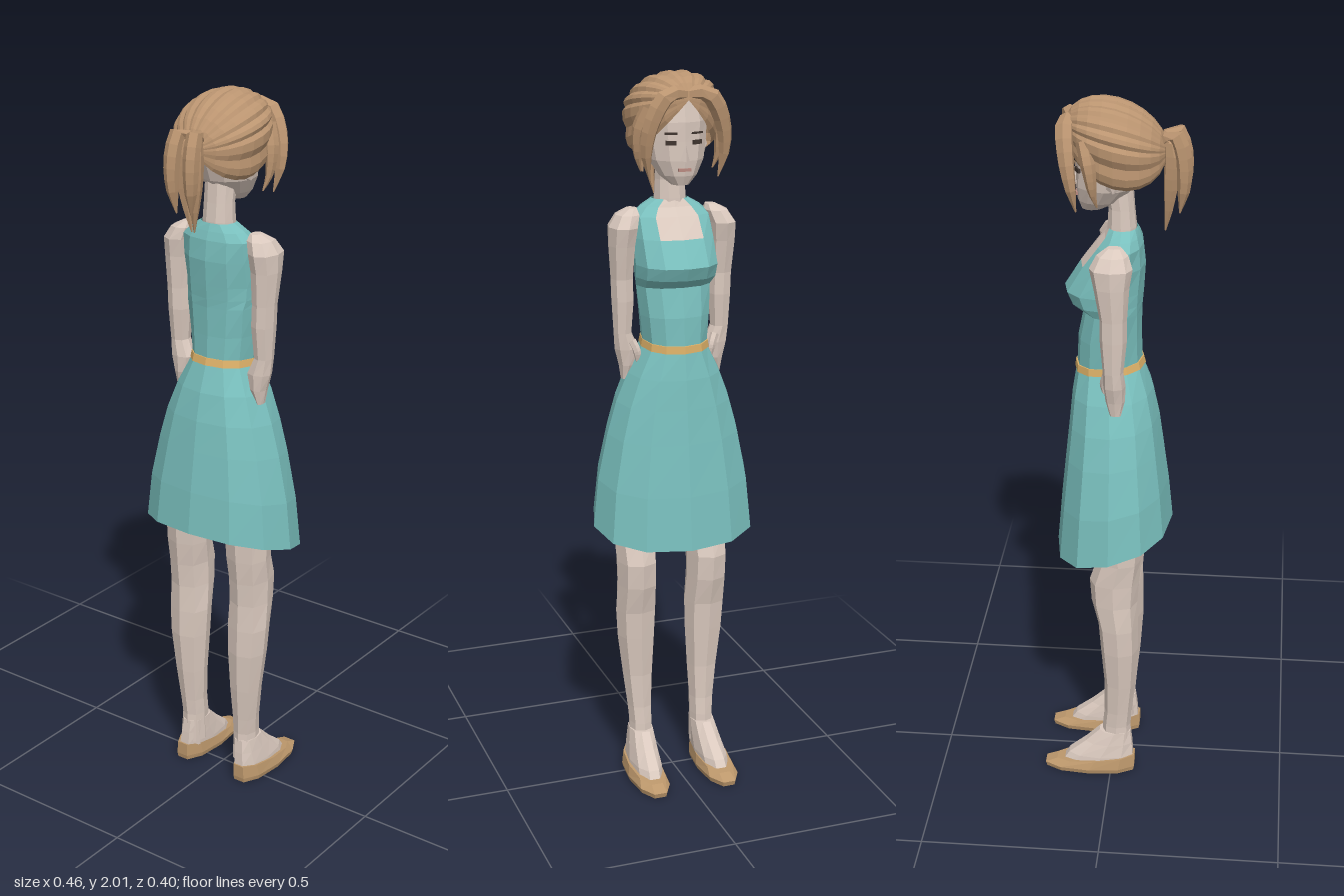
import * as THREE from 'three';

const paint = (name, color, side = THREE.FrontSide) => {
  const m = new THREE.MeshStandardMaterial({ color, side });
  m.name = name;
  return m;
};

// Facetted surface through rows of points; keep(i, j) chooses cells
function surface(rows, closed, caps, keep = () => true) {
  const pos = [];
  const tri = (...p) => p.forEach(v => pos.push(v.x, v.y, v.z));
  const n = rows[0].length;
  for (let i = 0; i < rows.length - 1; i++) {
    for (let j = 0; j < (closed ? n : n - 1); j++) {
      if (!keep(i, j)) continue;
      const k = (j + 1) % n, a = rows[i], b = rows[i + 1];
      tri(a[j], b[j], a[k]);
      tri(a[k], b[j], b[k]);
    }
  }
  if (caps) {
    const bottom = rows[0], top = rows[rows.length - 1];
    for (let j = 1; j < n - 1; j++) {
      tri(bottom[0], bottom[j], bottom[j + 1]);
      tri(top[0], top[j + 1], top[j]);
    }
  }
  const g = new THREE.BufferGeometry();
  g.setAttribute('position', new THREE.Float32BufferAttribute(pos, 3));
  g.computeVertexNormals();
  return g;
}

// Rings from bottom to top: [y, half width, front z, back z, tilt, centre x]
function loft(rings, n = 12, { caps = true, keep, side = 1, power = 0.88 } = {}) {
  const bend = v => Math.sign(v) * Math.pow(Math.abs(v), power);
  const rows = rings.map(([y, rx, zf, zb, tilt = 0, cx = 0]) =>
    Array.from({ length: n }, (_, j) => {
      const a = j / n * Math.PI * 2, s = bend(Math.sin(a));
      return new THREE.Vector3(cx * side + rx * bend(Math.cos(a)), y + tilt * s, (zf + zb) / 2 + (zb - zf) / 2 * s);
    }));
  return surface(rows, true, caps, keep);
}

// Tapered lock of hair along a curve
function strand(points, widths, side) {
  const curve = new THREE.CatmullRomCurve3(points.map(([x, y, z]) => new THREE.Vector3(x * side, y, z)));
  const segs = 9, radial = 6;
  const g = new THREE.TubeGeometry(curve, segs, 1, radial, false);
  const p = g.attributes.position, v = new THREE.Vector3();
  for (let i = 0; i <= segs; i++) {
    const c = curve.getPointAt(i / segs), f = i / segs * (widths.length - 1);
    const k = Math.min(Math.floor(f), widths.length - 2);
    const w = THREE.MathUtils.lerp(widths[k], widths[k + 1], f - k);
    for (let j = 0; j <= radial; j++) {
      const id = i * (radial + 1) + j;
      v.fromBufferAttribute(p, id).sub(c).multiplyScalar(w).add(c);
      p.setXYZ(id, v.x, v.y, v.z);
    }
  }
  const flat = g.toNonIndexed();
  flat.computeVertexNormals();
  return flat;
}

// Hair gathered from the parting to the knot, with grooves between clumps
function hairCap() {
  const rows = [], steps = 12, clumps = 12, across = clumps * 3;
  for (let i = 0; i <= steps; i++) {
    const t = i / steps * Math.PI, u = (1 - Math.cos(t)) / 2, row = [];
    for (let j = 0; j <= across; j++) {
      const phi = (j / across * 2 - 1) * 2.18, c = Math.cos(phi);
      const r = Math.sin(t) * (j % 3 === 0 ? 0.94 : 1);
      row.push(new THREE.Vector3(0.13 * r * Math.sin(phi),
        THREE.MathUtils.lerp(1.94, 1.875, u) + r * c * (c > 0 ? 0.096 : 0.2),
        THREE.MathUtils.lerp(-0.125, 0.138, u)));
    }
    rows.push(row);
  }
  return surface(rows, false, false);
}

export function createModel() {
  const model = new THREE.Group();
  const skin = paint('skin', 0xdac9be, THREE.DoubleSide);
  const teal = paint('dress teal', 0x79bfbd, THREE.DoubleSide);
  const hair = paint('hair brown', 0xba9470, THREE.DoubleSide);
  const tan = paint('shoe tan', 0xbd986c);
  const gold = paint('belt gold', 0xdcb068);
  const dark = paint('eye dark', 0x40352f);
  const rose = paint('lip rose', 0xb98a80);
  const add = (name, geometry, material) => {
    const m = new THREE.Mesh(geometry, material);
    m.name = name;
    model.add(m);
    return m;
  };

  // Dress: flared skirt with a dipping hem, belt, bodice with a square neckline
  add('skirt', loft([
    [0.765, 0.23, -0.16, 0.165, 0.045], [0.9, 0.216, -0.147, 0.153, 0.03],
    [1.03, 0.188, -0.132, 0.137, 0.015], [1.12, 0.162, -0.122, 0.125, 0.01],
    [1.2, 0.13, -0.114, 0.108, 0.008], [1.28, 0.088, -0.101, 0.08, 0.008],
  ], 12, { caps: false }), teal);
  add('belt', loft([[1.272, 0.094, -0.106, 0.086, 0.008], [1.292, 0.091, -0.104, 0.081, 0.008]]), gold);
  const bodice = [
    [1.28, 0.088, -0.1, 0.078], [1.36, 0.096, -0.096, 0.075], [1.44, 0.104, -0.08, 0.075],
    [1.465, 0.11, -0.115, 0.077], [1.5, 0.112, -0.131, 0.08], [1.57, 0.112, -0.088, 0.084],
    [1.625, 0.11, -0.045, 0.078], [1.648, 0.085, -0.025, 0.07], [1.668, 0.05, -0.015, 0.062],
  ];
  const neckline = (i, j) => i >= 5 && (j === 8 || j === 9);
  add('bodice', loft(bodice, 12, { caps: false, keep: (i, j) => !neckline(i, j) }), teal);
  add('chest', loft(bodice, 12, { caps: false, keep: neckline }), skin);

  // Neck, head and face
  add('neck', loft([[1.6, 0.045, -0.02, 0.06], [1.67, 0.044, -0.018, 0.06],
    [1.72, 0.042, -0.015, 0.055], [1.79, 0.042, -0.03, 0.05]], 10), skin);
  add('head', loft([
    [1.715, 0.024, -0.085, -0.03], [1.74, 0.052, -0.095, 0.02], [1.78, 0.076, -0.1, 0.06],
    [1.83, 0.085, -0.1, 0.08], [1.88, 0.09, -0.101, 0.1], [1.94, 0.078, -0.09, 0.09],
    [1.975, 0.04, -0.05, 0.05],
  ], 12, { power: 1 }), skin);
  const nose = add('nose', new THREE.ConeGeometry(0.013, 0.045, 4).toNonIndexed(), skin);
  nose.geometry.computeVertexNormals();
  nose.position.set(0, 1.803, -0.1);
  nose.rotation.x = -0.15;
  add('mouth', new THREE.BoxGeometry(0.034, 0.008, 0.008), rose).position.set(0, 1.757, -0.096);

  for (const side of [1, -1]) {
    const label = side > 0 ? 'right' : 'left';
    const part = (name, geometry, material) => add(label + name, geometry, material);

    // Eyes, brows and ears
    for (const [name, y, w, h] of [['Eye', 1.828, 0.028, 0.011], ['Brow', 1.852, 0.034, 0.005]]) {
      const plate = part(name, new THREE.BoxGeometry(w, h, 0.009), dark);
      plate.position.set(0.036 * side, y, -0.09);
      plate.rotation.y = -0.42 * side;
    }
    const ear = part('Ear', new THREE.IcosahedronGeometry(0.026, 0), skin);
    ear.position.set(0.085 * side, 1.81, 0.005);
    ear.scale.set(0.5, 1.2, 0.8);

    // Arm with hand
    part('Arm', loft([
      [1.18, 0.008, 0, 0.03, 0, 0.135], [1.22, 0.022, -0.012, 0.04, 0, 0.128],
      [1.265, 0.034, -0.018, 0.042, 0, 0.128], [1.31, 0.025, -0.018, 0.037, 0, 0.14],
      [1.4, 0.031, -0.026, 0.046, 0, 0.139], [1.46, 0.031, -0.026, 0.046, 0, 0.141],
      [1.55, 0.036, -0.042, 0.052, 0, 0.142], [1.6, 0.039, -0.053, 0.06, 0, 0.139],
      [1.632, 0.033, -0.035, 0.048, 0, 0.125], [1.648, 0.014, -0.01, 0.03, 0, 0.112],
    ], 8, { side }), skin);
    part('Thumb', strand([[0.12, 1.29, -0.01], [0.108, 1.26, -0.018], [0.104, 1.22, -0.015]],
      [0.012, 0.011, 0.004], side), skin);

    // Leg, foot and flat shoe
    part('Leg', loft([
      [0.06, 0.034, -0.03, 0.06, 0, 0.094], [0.15, 0.033, -0.025, 0.056, 0, 0.093],
      [0.2, 0.035, -0.02, 0.06, 0, 0.095], [0.3, 0.044, -0.02, 0.07, 0, 0.098],
      [0.42, 0.055, -0.03, 0.078, 0, 0.102], [0.5, 0.059, -0.036, 0.077, 0, 0.103],
      [0.58, 0.056, -0.055, 0.075, 0, 0.104], [0.65, 0.056, -0.06, 0.08, 0, 0.105],
      [0.72, 0.06, -0.037, 0.086, 0, 0.104], [0.95, 0.068, -0.06, 0.1, 0, 0.1],
    ], 8, { side }), skin);
    part('Foot', loft([
      [0.01, 0.042, -0.155, 0.068, 0, 0.102], [0.05, 0.042, -0.128, 0.068, 0, 0.1],
      [0.09, 0.038, -0.078, 0.064, 0, 0.097], [0.13, 0.034, -0.036, 0.058, 0, 0.094],
    ], 10, { side }), skin);
    part('Shoe', loft([
      [0, 0.048, -0.196, 0.072, 0, 0.104], [0.014, 0.052, -0.2, 0.075, 0, 0.104],
      [0.04, 0.046, -0.165, 0.074, 0.013, 0.103],
    ], 10, { side }), tan);

    // Loose locks and ponytail
    part('FrontLock', strand([[0.005, 1.955, -0.11], [0.055, 1.955, -0.12], [0.095, 1.89, -0.115],
      [0.108, 1.81, -0.103], [0.095, 1.735, -0.09]], [0.016, 0.025, 0.022, 0.016, 0.002], side), hair);
    part('SideLock', strand([[0.09, 1.92, -0.07], [0.112, 1.86, -0.055], [0.112, 1.79, -0.045],
      [0.1, 1.75, -0.035]], [0.02, 0.02, 0.013, 0.002], side), hair);
    part('OuterTail', strand([[0.012, 1.89, 0.12], [0.025, 1.925, 0.155], [0.03, 1.87, 0.178],
      [0.03, 1.79, 0.182], [0.024, 1.715, 0.172]], [0.014, 0.022, 0.022, 0.018, 0.002], side), hair);
    part('InnerTail', strand([[0.012, 1.9, 0.12], [0.02, 1.9, 0.145], [0.02, 1.8, 0.148],
      [0.012, 1.72, 0.142], [0.004, 1.66, 0.134]], [0.016, 0.022, 0.02, 0.013, 0.002], side), hair);
  }
  add('hair', hairCap(), hair);
  return model;
}
